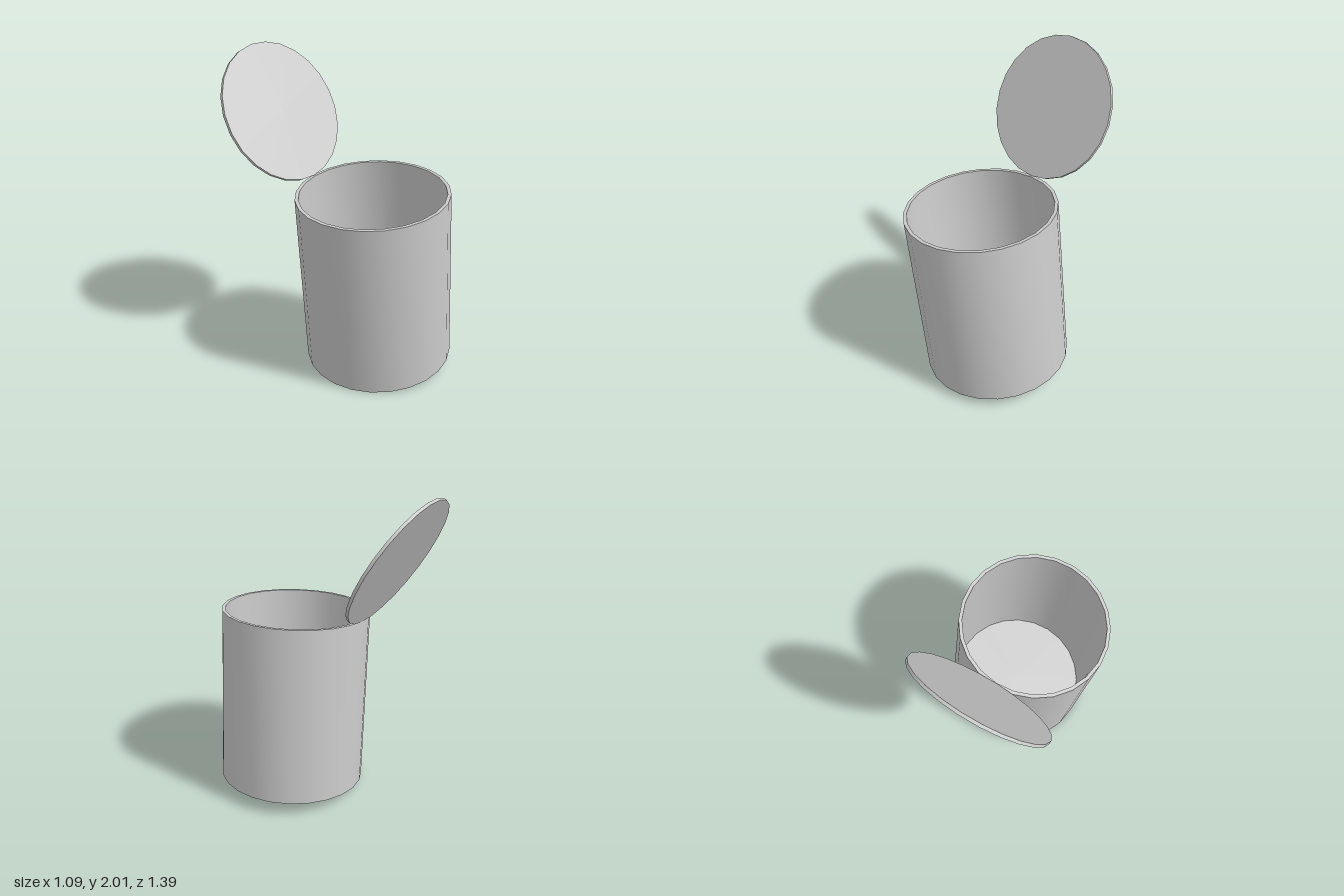
import * as THREE from 'three';
import { toCreasedNormals } from 'three/addons/utils/BufferGeometryUtils.js';

const SIDES = 24;
const RADIUS = 0.478;
const INNER = 0.456;
const HEIGHT = 1.16;
const FLOOR = 0.02;
const LID_LEAN = 0.51;

export function createModel() {
  const model = new THREE.Group();
  const material = new THREE.MeshStandardMaterial({ color: 0xcccccc });

  // The whole can leans slightly to one side
  const can = new THREE.Group();
  can.name = 'can';
  can.position.set(0.07, 0.047, 0.206);
  can.rotation.set(0.016, 0, 0.0985, 'ZYX');
  model.add(can);

  // Hollow body: base, outer wall, rim, inner wall, floor
  const profile = [
    [0, 0], [RADIUS, 0], [RADIUS, HEIGHT], [INNER, HEIGHT], [INNER, FLOOR], [0, FLOOR],
  ].map(([r, y]) => new THREE.Vector2(r, y));
  const body = new THREE.Mesh(
    toCreasedNormals(new THREE.LatheGeometry(profile, SIDES), Math.PI / 6), material);
  body.name = 'canBody';
  can.add(body);

  // Thin lid swung open, pivoting on the back of the rim
  const hinge = new THREE.Group();
  hinge.name = 'lidHinge';
  hinge.position.set(-0.005, HEIGHT, -0.469);
  hinge.rotation.x = Math.PI / 2 - LID_LEAN;
  can.add(hinge);

  const lid = new THREE.Mesh(
    new THREE.CylinderGeometry(INNER, INNER, 0.02, SIDES), material);
  lid.name = 'lid';
  lid.position.z = -INNER;
  hinge.add(lid);

  return model;
}
